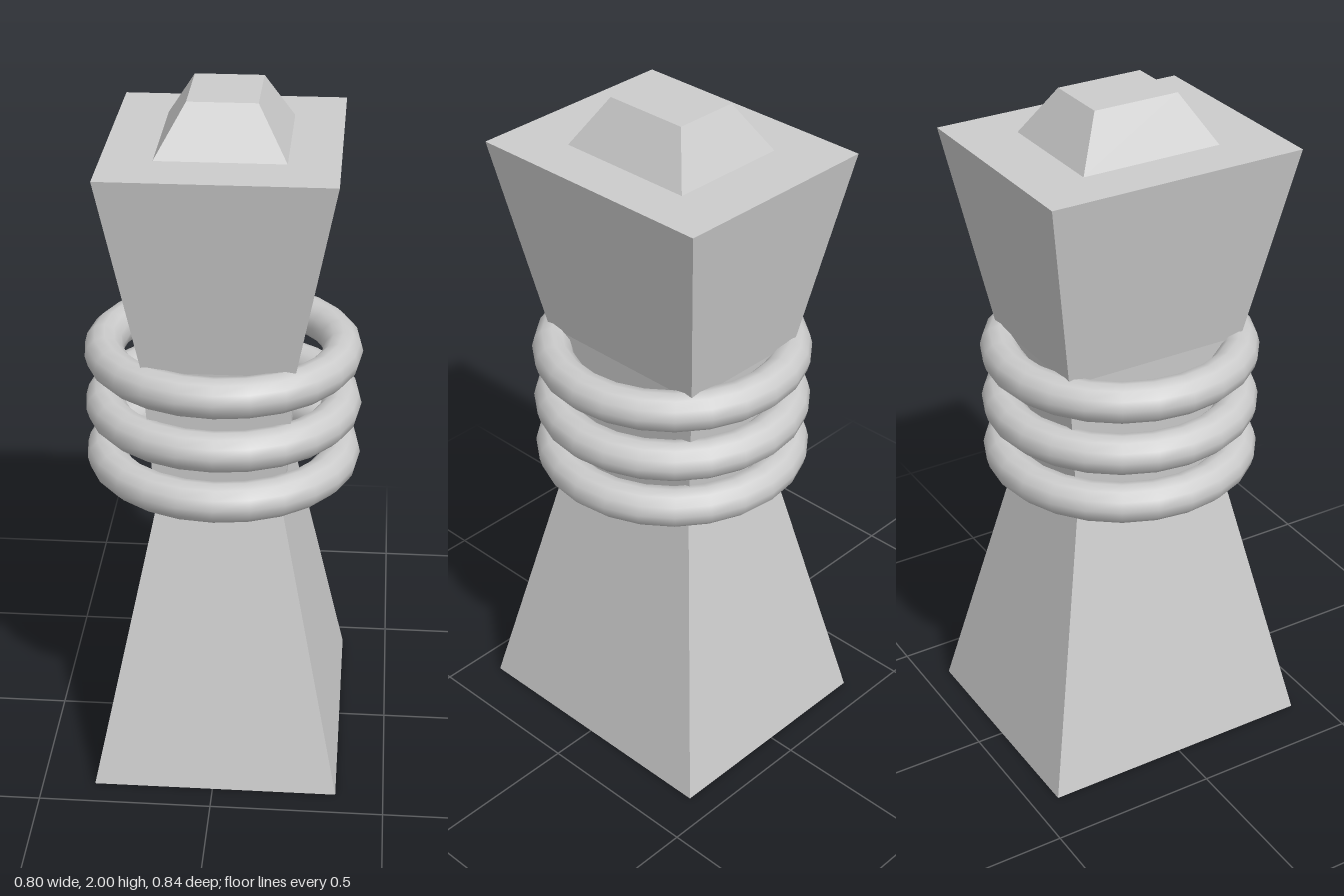
import * as THREE from 'three';

const flatMat = new THREE.MeshStandardMaterial({ color: 0xcccccc, flatShading: true, side: THREE.DoubleSide });
const smoothMat = new THREE.MeshStandardMaterial({ color: 0xcccccc });

// Lofts rectangular sections [y, halfWidth, halfDepth] bottom to top; the top is capped, the bottom open
function loftRects(name, sections) {
  const pos = [], index = [];
  for (const [y, w, d] of sections) pos.push(-w, y, d, w, y, d, w, y, -d, -w, y, -d);
  for (let s = 0; s < sections.length - 1; s++) {
    for (let i = 0; i < 4; i++) {
      const a = s * 4 + i, b = s * 4 + (i + 1) % 4;
      index.push(a, b, b + 4, a, b + 4, a + 4);
    }
  }
  const t = (sections.length - 1) * 4;
  index.push(t, t + 1, t + 2, t, t + 2, t + 3);
  const geo = new THREE.BufferGeometry();
  geo.setAttribute('position', new THREE.Float32BufferAttribute(pos, 3));
  geo.setIndex(index);
  const flat = geo.toNonIndexed();
  flat.computeVertexNormals();
  const mesh = new THREE.Mesh(flat, flatMat);
  mesh.name = name;
  mesh.position.set(0.007, 0, -0.002);
  return mesh;
}

export function createModel() {
  const model = new THREE.Group();
  model.name = 'column';

  // Waisted four-sided body, hollow underneath
  model.add(loftRects('body', [
    [0, 0.354, 0.418],
    [0.84, 0.18, 0.242],
    [1.28, 0.21, 0.279],
    [1.862, 0.319, 0.383],
  ]));

  // Truncated pyramid on top
  model.add(loftRects('cap', [
    [1.862, 0.178, 0.21],
    [2, 0.096, 0.128],
  ]));

  // Three rings around the waist
  const ringGeo = new THREE.TorusGeometry(0.341, 0.057, 12, 24).rotateX(Math.PI / 2);
  const rings = new THREE.Group();
  rings.name = 'rings';
  [0.92, 1.077, 1.24].forEach((y, i) => {
    const ring = new THREE.Mesh(ringGeo, smoothMat);
    ring.name = `ring${i + 1}`;
    ring.position.y = y;
    rings.add(ring);
  });
  model.add(rings);

  return model;
}
